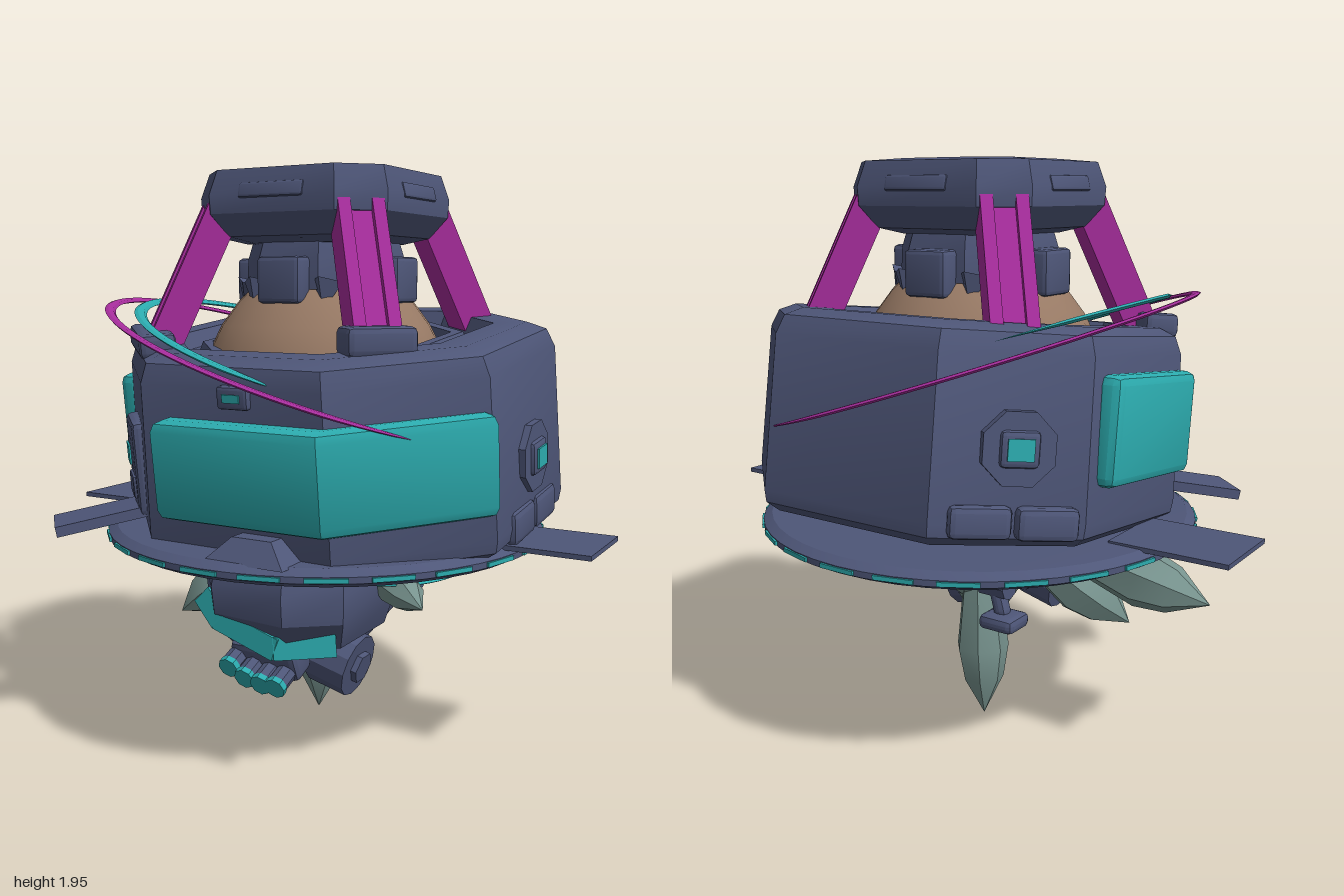
import * as THREE from 'three';
import { toCreasedNormals } from 'three/addons/utils/BufferGeometryUtils.js';
import { RoundedBoxGeometry } from 'three/addons/geometries/RoundedBoxGeometry.js';

const paint = (name, color) => Object.assign(new THREE.MeshStandardMaterial({ color }), { name });
const V = (x, y, z) => new THREE.Vector3(x, y, z);

export function createModel() {
  const navy = paint('slate navy', 0x4e5678);
  const teal = paint('teal', 0x2cacaf);
  const magenta = paint('magenta', 0xa62d9c);
  const pale = paint('pale sage', 0x78948f);
  const tan = paint('tan', 0x987a65);
  const model = new THREE.Group();
  model.name = 'hoveringMachine';

  function add(parent, name, geo, mat, x = 0, y = 0, z = 0, rx = 0, ry = 0, rz = 0) {
    const m = new THREE.Mesh(toCreasedNormals(geo, 0.45), mat);
    m.name = name;
    m.position.set(x, y, z);
    m.rotation.set(rx, ry, rz);
    parent.add(m);
    return m;
  }
  const box = (w, h, d) => new THREE.BoxGeometry(w, h, d);
  const soft = (w, h, d, r = 0.02) => new RoundedBoxGeometry(w, h, d, 1, r);
  const cyl = (r, h, n = 8, r2 = r) => new THREE.CylinderGeometry(r2, r, h, n);
  const lathe = (pts, n, start = 0, sweep = Math.PI * 2) =>
    new THREE.LatheGeometry(pts.map(p => new THREE.Vector2(...p)), n, start, sweep);

  // Skin a plan outline [x, z] through levels [scale, y], closed at both ends
  function skin(outline, levels) {
    const pos = [], idx = [], n = outline.length;
    for (const [s, y] of levels) for (const [x, z] of outline) pos.push(x * s, y, z * s);
    for (let l = 0; l < levels.length - 1; l++) for (let i = 0; i < n; i++) {
      const a = l * n + i, b = l * n + (i + 1) % n;
      idx.push(a, b, b + n, a, b + n, a + n);
    }
    const top = (levels.length - 1) * n;
    for (let i = 1; i < n - 1; i++) idx.push(0, i + 1, i, top, top + i, top + i + 1);
    const g = new THREE.BufferGeometry();
    g.setAttribute('position', new THREE.Float32BufferAttribute(pos, 3));
    g.setIndex(idx);
    g.computeVertexNormals();
    return g;
  }

  // Stand a mesh's y axis along a -> b, centred, with its z axis facing out
  function along(mesh, a, b, out = V(0, 0, 1)) {
    const y = b.clone().sub(a).normalize();
    const x = y.clone().cross(out).normalize();
    mesh.quaternion.setFromRotationMatrix(new THREE.Matrix4().makeBasis(x, y, x.clone().cross(y)));
    mesh.position.copy(a).add(b).multiplyScalar(0.5);
    return mesh;
  }

  // Main drum, slightly tipped forward
  const drum = new THREE.Group();
  drum.name = 'drum';
  drum.position.set(0, 1.1, 0);
  drum.rotation.x = 0.11;
  model.add(drum);
  const plan = [[-0.3, 0.62], [0.36, 0.63], [0.73, 0.28], [0.735, -0.3], [0.34, -0.67],
    [-0.3, -0.67], [-0.62, -0.33], [-0.62, 0.28]];
  add(drum, 'drumShell', skin(plan, [[0.95, -0.33], [1.01, -0.3], [1.02, -0.26], [0.995, 0.24], [0.96, 0.3],
    [0.88, 0.325], [0.74, 0.325], [0.7, 0.27], [0.63, 0.27], [0.61, 0.3], [0.56, 0.3], [0.54, 0.2]]), navy);

  // Wrapped front panel and left side panel
  const strip = new THREE.Shape([[-0.19, -0.66], [0.355, -0.66], [0.72, -0.3], [0.68, -0.25], [0.34, -0.58], [-0.19, -0.58]]
    .map(p => new THREE.Vector2(...p)));
  const wrap = new THREE.ExtrudeGeometry(strip, { depth: 0.25, bevelThickness: 0.035, bevelSize: 0.03, bevelSegments: 2 });
  add(drum, 'frontPanel', wrap, teal, 0, -0.145, 0, -Math.PI / 2);
  add(drum, 'sidePanel', soft(0.09, 0.34, 0.56, 0.03), teal, -0.64, 0.02, 0);

  // Framed porthole, facing out by a turn around y
  function porthole(x, y, z, turn, tall = 0) {
    const g = new THREE.Group();
    g.name = 'porthole';
    g.position.set(x, y, z);
    g.rotation.y = turn;
    drum.add(g);
    const frame = cyl(0.118, 0.05, 8).rotateY(Math.PI / 8).rotateX(Math.PI / 2);
    add(g, 'portholeFrame', tall ? soft(0.21, 0.32, 0.07) : frame, navy, 0, -tall, 0);
    add(g, 'portholeRim', soft(0.12, 0.11, 0.04, 0.015), navy, 0, 0, 0.02);
    add(g, 'portholeGlass', box(0.08, 0.065, 0.008), teal, 0, 0, 0.042);
    if (tall) add(g, 'ventBox', soft(0.12, 0.08, 0.04, 0.01), navy, 0, -0.11, 0.025);
  }
  porthole(0.735, -0.07, -0.03, Math.PI / 2);
  porthole(-0.48, -0.03, -0.5, -Math.PI * 0.74);
  porthole(-0.455, -0.03, 0.46, -Math.PI / 4, 0.04);
  for (const dz of [-0.1, 0.1]) {
    add(drum, 'sideLocker', soft(0.07, 0.11, 0.19), navy, 0.725, -0.265, dz - 0.03);
    add(drum, 'rearLocker', soft(0.19, 0.1, 0.07), navy, -0.48 + dz * 0.74, -0.25, -0.5 - dz * 0.68, 0, -Math.PI * 0.74);
  }
  add(drum, 'frontHatch', soft(0.11, 0.07, 0.04, 0.01), navy, 0.06, 0.215, 0.625);
  add(drum, 'frontHatchGlass', box(0.06, 0.025, 0.008), teal, 0.06, 0.215, 0.646);
  add(drum, 'rimBlock', soft(0.34, 0.08, 0.12), navy, -0.43, 0.335, 0.38, 0, -Math.PI / 4);
  add(model, 'frontWedge', skin([[-0.14, 0.1], [0.14, 0.1], [0.14, -0.1], [-0.14, -0.1]], [[1, 0], [0.5, 0.07]]), navy, 0.13, 0.76, 0.62);

  // Dome, neck and crown
  add(model, 'dome', lathe([[0.42, 1.25], [0.4, 1.36], [0.36, 1.44], [0.3, 1.52], [0.24, 1.58], [0, 1.6]], 24), tan);
  add(model, 'neck', skin([[-0.11, 0.24], [0.11, 0.24], [0.24, 0.11], [0.24, -0.11], [0.11, -0.24], [-0.11, -0.24],
    [-0.24, -0.11], [-0.24, 0.11]], [[1.04, 1.56], [1.02, 1.66], [0.95, 1.72], [0.9, 1.78]]), navy);
  add(model, 'cap', skin([[-0.23, 0.35], [0.23, 0.35], [0.35, 0.23], [0.35, -0.23], [0.23, -0.35], [-0.23, -0.35],
    [-0.35, -0.23], [-0.35, 0.23]], [[0.64, 1.71], [0.85, 1.73], [1, 1.8], [1.01, 1.86], [0.94, 1.94],
    [0.62, 1.95], [0.56, 1.94]]), navy);
  for (let i = 0; i < 4; i++) {
    const side = new THREE.Group();
    side.name = 'crownSide';
    side.rotation.y = i * Math.PI / 2;
    model.add(side);
    add(side, 'capSlot', soft(0.24, 0.05, 0.02, 0.008), navy, 0, 1.87, 0.345, -0.25);
    add(side, 'neckEmblem', soft(0.16, 0.15, 0.09, 0.015), navy, 0, 1.59, 0.27);
    for (const s of [-1, 1]) // downward collar teeth
      add(side, 'collarTooth', cyl(0.01, 0.08, 4, 0.06), navy, s * 0.13, 1.545, 0.23, -0.3);

    // Diagonal strut with shallow edge rails
    const strut = new THREE.Group();
    strut.name = 'strut';
    for (const [x, w, d, z] of [[0, 0.15, 0.09, -0.015], [-0.055, 0.04, 0.1, 0], [0.055, 0.04, 0.1, 0]])
      add(strut, 'strutRail', box(w, 0.47, d), magenta, x, 0, z);
    const sx = i % 2 ? 1 : -1, sz = i < 2 ? 1 : -1;
    along(strut, V(sx * 0.4, 1.39, sz * 0.4), V(sx * 0.26, 1.815, sz * 0.26), V(sx, 0, sz));
    model.add(strut);
  }
  add(model, 'strutFoot', soft(0.22, 0.09, 0.14), navy, 0.41, 1.41, 0.41, 0, Math.PI / 4);

  // Flat tilted hoop arcs with tapered ends, angles counted from +x towards the back
  function hoop(name, r, [x, y, z], [kx, kz], t, start, sweep, mat) {
    const rad = Math.PI / 180, steps = 72;
    const g = new THREE.TorusGeometry(r, t, 6, steps, sweep * rad);
    const p = g.attributes.position;
    for (let i = 0; i < p.count; i++) {
      const u = (i % (steps + 1)) / steps, a = u * sweep * rad;
      const k = Math.min(1, 8 * Math.min(u, 1 - u) + 0.02);
      const cx = r * Math.cos(a), cy = r * Math.sin(a);
      p.setXYZ(i, cx + (p.getX(i) - cx) * k, cy + (p.getY(i) - cy) * k, p.getZ(i) * k * 0.4);
    }
    const m = add(model, name, g.rotateZ(start * rad), mat, x, y, z);
    m.quaternion.setFromUnitVectors(V(0, 0, 1), V(-kx, 1, -kz).normalize());
  }
  hoop('outerHoop', 0.762, [0, 1.28, 0], [-0.32, 0.08], 0.018, 32, 285, magenta);
  hoop('innerHoop', 0.675, [0.012, 1.315, -0.02], [-0.31, 0.03], 0.021, 114, 160, teal);
  hoop('lowerHoop', 0.52, [0, 0.7, 0], [-0.14, 0], 0.015, -60, 170, teal);

  // Base disc with a dashed rim light
  add(model, 'disc', lathe([[0, 0.66], [0.42, 0.67], [0.72, 0.705], [0.76, 0.725], [0.76, 0.745], [0.73, 0.765], [0, 0.775]], 48), navy);
  for (let i = 0; i < 24; i++) {
    const a = i * Math.PI / 12;
    add(model, 'rimLight', box(0.13, 0.014, 0.008), teal, Math.sin(a) * 0.76, 0.735, Math.cos(a) * 0.76, 0, a);
  }

  // Thin wings and the diagonal boarding plate
  for (const s of [-1, 1]) add(model, 'wing', box(0.4, 0.016, 0.3), navy, s * 0.8, 0.765, -0.005);
  const plate = add(model, 'boardingPlate', box(0.2, 0.38, 0.035), navy);
  along(plate, V(-0.67, 0.775, 0.64), V(-0.42, 0.84, 0.39), V(0, 1, 0));

  // Front pod under the disc
  add(model, 'podHull', skin([[-0.07, 0.6], [0.2, 0.62], [0.35, 0.5], [0.35, 0.15], [-0.18, 0.15], [-0.2, 0.45]],
    [[0.72, 0.42], [0.86, 0.45], [0.98, 0.55], [1, 0.64], [0.97, 0.7]]), navy);
  const bandPts = [V(-0.12, 0.59, 0.545), V(-0.06, 0.53, 0.555), V(0.14, 0.465, 0.55), V(0.29, 0.475, 0.46)];
  for (let i = 0; i < 3; i++)
    along(add(model, 'podBand', box(0.075, bandPts[i].distanceTo(bandPts[i + 1]) + 0.02, 0.06), teal), bandPts[i], bandPts[i + 1]);
  for (const [x, y] of [[-0.035, 0.37], [0.025, 0.345], [0.085, 0.335], [0.14, 0.335]]) {
    add(model, 'podNozzle', cyl(0.033, 0.08, 8), navy, x, y + 0.02, 0.51, 1.95);
    add(model, 'nozzleTip', cyl(0.036, 0.02, 8), teal, x, y, 0.556, 1.95);
  }
  add(model, 'nozzleMount', soft(0.24, 0.12, 0.1), navy, 0.06, 0.4, 0.46, 0.4);

  // Jointed arms: hubs, links and clamps
  const hub = (x, y, z, r, w, tilt) => {
    add(model, 'armHub', cyl(r, w, 12).rotateZ(Math.PI / 2), navy, x, y, z, 0, 0, tilt);
    add(model, 'armHubCap', cyl(r * 0.5, w + 0.04, 6).rotateZ(Math.PI / 2), navy, x, y, z, 0, 0, tilt);
  };
  const link = (a, b, w) => along(add(model, 'armLink', soft(w, a.distanceTo(b), w), navy), a, b);
  hub(0.21, 0.355, 0.27, 0.105, 0.14, -0.25);
  hub(-0.14, 0.44, 0.25, 0.1, 0.14, 0.25);
  hub(0.26, 0.57, -0.12, 0.078, 0.1, 0);
  link(V(0.21, 0.42, 0.25), V(0.26, 0.57, -0.1), 0.1);
  link(V(-0.14, 0.46, 0.22), V(-0.12, 0.64, -0.05), 0.1);
  link(V(0.22, 0.61, -0.1), V(-0.25, 0.62, -0.26), 0.07);
  link(V(-0.24, 0.67, -0.28), V(-0.31, 0.5, -0.31), 0.05);
  add(model, 'clampFoot', soft(0.13, 0.05, 0.12), navy, -0.31, 0.49, -0.31);
  add(model, 'clampJoint', cyl(0.045, 0.1, 8).rotateZ(Math.PI / 2), navy, -0.27, 0.6, -0.29);
  for (const dz of [0, 0.08]) add(model, 'canister', cyl(0.035, 0.09, 8).rotateZ(Math.PI / 2), magenta, 0.31, 0.635, dz);
  add(model, 'sensor', soft(0.12, 0.06, 0.09), teal, -0.15, 0.585, -0.24);

  // Faceted hanging spikes
  function spike(a, b, r) {
    const l = a.distanceTo(b);
    along(add(model, 'spike', lathe([[0, -l / 2], [r * 0.62, -l * 0.46], [r, l * 0.04], [r * 0.78, l * 0.25], [0, l / 2]], 7), pale), a, b);
  }
  spike(V(-0.05, 0.56, -0.07), V(-0.08, 0, -0.085), 0.095);
  spike(V(-0.18, 0.64, 0.02), V(-0.53, 0.37, 0.16), 0.105);
  spike(V(-0.35, 0.66, 0.02), V(-0.86, 0.54, 0.07), 0.105);
  spike(V(0.25, 0.67, 0.14), V(0.53, 0.58, 0.32), 0.07);

  // Spike socket: collar and cone, with a teal sector facing the left side
  add(model, 'socketCollar', lathe([[0.11, 0.44], [0.16, 0.5], [0.12, 0.66]], 8), pale, -0.03, 0, 0);
  const cone = [[0, 0.27], [0.12, 0.45]];
  add(model, 'socketCone', lathe(cone, 5, Math.PI * 7 / 8, Math.PI * 5 / 4), pale, -0.03, 0, 0);
  add(model, 'socketInlay', lathe(cone, 3, Math.PI / 8, Math.PI * 3 / 4), teal, -0.02, 0, 0);
  return model;
}
